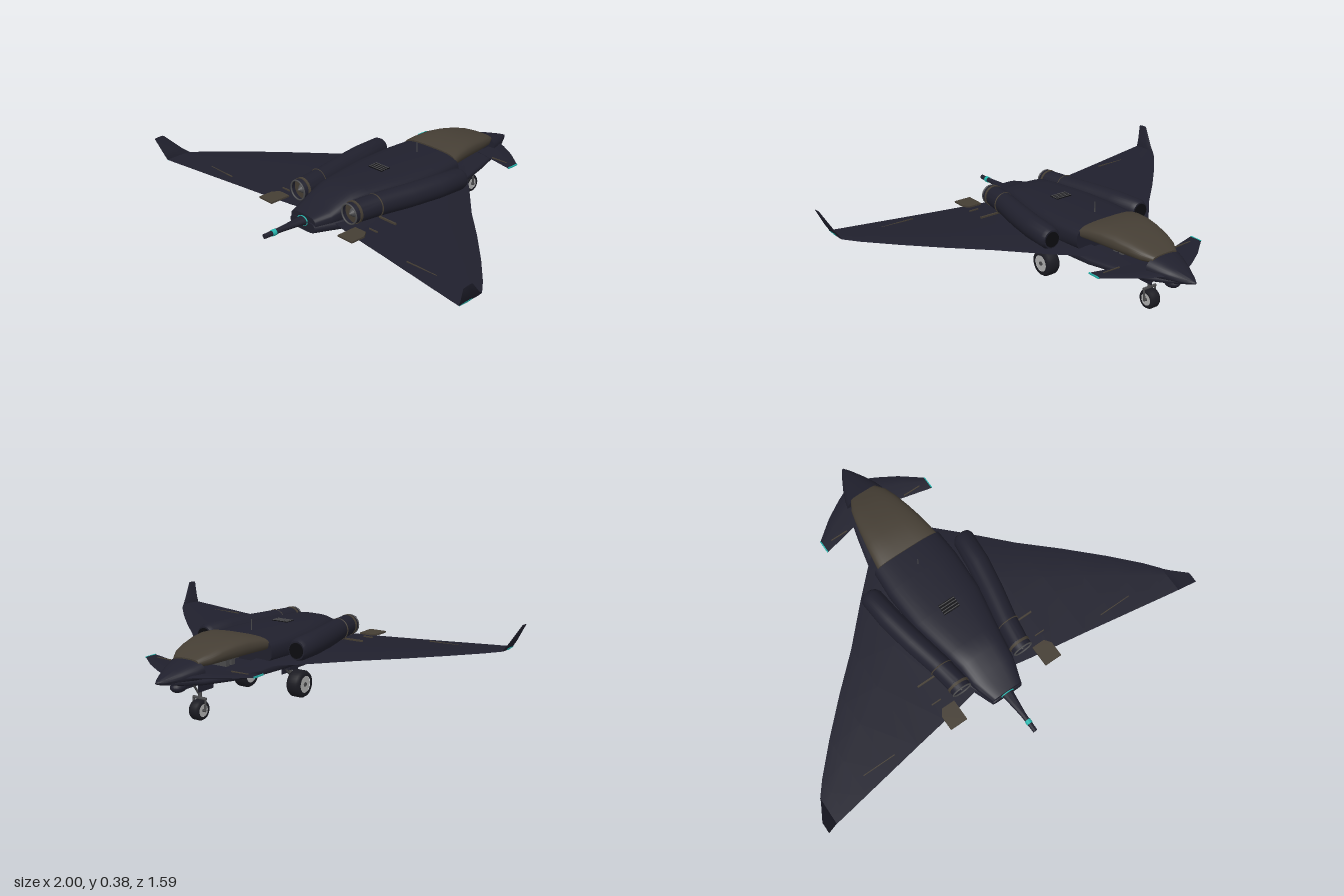
import * as THREE from 'three';
import { toCreasedNormals } from 'three/addons/utils/BufferGeometryUtils.js';

const material = (name, color, side = THREE.FrontSide) => {
  const m = new THREE.MeshStandardMaterial({ color, side });
  m.name = name;
  return m;
};

export function createModel() {
  const navy = material('dark navy', 0x20202d);
  const bronze = material('bronze', 0x453e34);
  const cyan = material('cyan', 0x25b5ad);
  const rubber = material('rubber', 0x1b1b22);
  const silver = material('silver', 0xb0b0b0);
  const steel = material('steel', 0x4a4a4c);
  const black = material('black', 0x0c0c10);
  const navyShell = material('dark navy shell', 0x20202d, THREE.DoubleSide);

  const model = new THREE.Group();
  model.name = 'aircraft';
  const add = (name, geometry, mat, x = 0, y = 0, z = 0) => {
    const mesh = new THREE.Mesh(geometry, mat);
    mesh.name = name;
    mesh.position.set(x, y, z);
    model.add(mesh);
    return mesh;
  };
  const box = (name, w, h, d, mat, x, y, z) => add(name, new THREE.BoxGeometry(w, h, d), mat, x, y, z);

  // Skin a row of closed rings and cap both ends
  function skin(rings, flip = false, crease = 0.7) {
    const n = rings[0].length, pos = rings.flat(2), index = [];
    const tri = (a, b, c) => (flip ? index.push(a, c, b) : index.push(a, b, c));
    for (let i = 0; i < rings.length - 1; i++) {
      for (let j = 0; j < n; j++) {
        const a = i * n + j, b = i * n + (j + 1) % n;
        tri(a, b, a + n);
        tri(b, b + n, a + n);
      }
    }
    const last = (rings.length - 1) * n;
    for (let j = 1; j < n - 1; j++) {
      tri(0, j + 1, j);
      tri(last, last + j, last + j + 1);
    }
    const g = new THREE.BufferGeometry();
    g.setAttribute('position', new THREE.Float32BufferAttribute(pos, 3));
    g.setIndex(index);
    return toCreasedNormals(g, crease);
  }

  // Body sections: [z, half width, bottom, top, centre x]; power sets boxiness
  function body(sections, power, n = 32) {
    return skin(sections.map(([z, w, y0, y1, cx = 0]) =>
      Array.from({ length: n }, (_, j) => {
        const t = (j / n) * Math.PI * 2, c = Math.cos(t), s = Math.sin(t);
        const round = (v) => Math.sign(v) * Math.abs(v) ** (2 / power);
        return [cx + w * round(c), (y0 + y1) / 2 + ((y1 - y0) / 2) * round(s), z];
      })));
  }

  // Wing sections: [x, leading z, trailing z, y, thickness]
  function wing(sections, s) {
    return skin(sections.map(([x, a, b, y, t]) => [
      [0, 0], [0.12, 0.4], [0.4, 0.5], [1, 0.06],
      [1, -0.06], [0.4, -0.5], [0.12, -0.4],
    ].map(([u, v]) => [x * s, y + v * t, a + (b - a) * u])), s < 0);
  }

  // Fuselage
  add('lowerHull', body([
    [-0.79, 0.01, 0.222, 0.232], [-0.7, 0.06, 0.203, 0.23], [-0.6, 0.1, 0.187, 0.222],
    [-0.45, 0.14, 0.176, 0.218], [-0.3, 0.175, 0.17, 0.218], [-0.1, 0.19, 0.164, 0.228],
    [0.1, 0.19, 0.165, 0.235], [0.3, 0.165, 0.172, 0.24], [0.45, 0.13, 0.18, 0.24], [0.58, 0.08, 0.19, 0.24],
  ], 3.5), navy);
  add('nose', body([
    [-0.8, 0.004, 0.225, 0.233], [-0.77, 0.025, 0.215, 0.245], [-0.7, 0.062, 0.205, 0.268],
    [-0.64, 0.088, 0.2, 0.286], [-0.6, 0.1, 0.2, 0.297],
  ], 2.4), navy);
  add('upperBody', body([
    [-0.235, 0.182, 0.21, 0.335], [-0.1, 0.19, 0.2, 0.337], [0.1, 0.18, 0.2, 0.337],
    [0.3, 0.14, 0.2, 0.336], [0.38, 0.125, 0.2, 0.33], [0.46, 0.115, 0.2, 0.295],
    [0.5, 0.105, 0.2, 0.28], [0.575, 0.08, 0.2, 0.266],
  ], 3.2), navy);
  add('canopy', body([
    [-0.61, 0.07, 0.265, 0.3], [-0.56, 0.1, 0.262, 0.322], [-0.5, 0.117, 0.262, 0.34],
    [-0.42, 0.134, 0.264, 0.355], [-0.35, 0.147, 0.266, 0.36], [-0.28, 0.158, 0.268, 0.354],
    [-0.23, 0.165, 0.27, 0.342],
  ], 3), bronze);
  add('chinSensor', new THREE.SphereGeometry(0.04, 20, 12), navy, 0, 0.183, -0.66).scale.set(0.8, 0.6, 1);
  for (const z of [-0.33, -0.37]) box('cockpitSeat', 0.08, 0.05, 0.025, steel, 0, 0.24, z);
  box('cockpitRail', 0.1, 0.01, 0.1, steel, 0, 0.252, -0.35);

  // Tail boom
  add('tailBoom', body([
    [0.54, 0.035, 0.205, 0.255], [0.6, 0.025, 0.218, 0.25], [0.7, 0.013, 0.222, 0.247], [0.79, 0.011, 0.223, 0.245],
  ], 2, 16), navy);
  add('boomLightBand', new THREE.CylinderGeometry(0.0145, 0.0145, 0.02, 20), cyan, 0, 0.234, 0.74).rotation.x = Math.PI / 2;
  add('tailLightRing', new THREE.TorusGeometry(0.032, 0.003, 6, 24), cyan, 0, 0.233, 0.578).scale.y = 0.7;

  // Dorsal details
  add('antenna', new THREE.CylinderGeometry(0.002, 0.003, 0.055, 8), steel, 0, 0.36, -0.14);
  box('dorsalVent', 0.085, 0.005, 0.055, black, 0, 0.337, 0.112);
  for (let i = 0; i < 4; i++) box('ventSlat', 0.085, 0.004, 0.004, steel, 0, 0.34, 0.091 + i * 0.014);

  const wheel = (name, x, y, z, r, w) => {
    const lathe = new THREE.LatheGeometry([
      [r * 0.62, -w / 2], [r * 0.88, -w / 2], [r, -w * 0.32], [r, w * 0.32], [r * 0.88, w / 2], [r * 0.62, w / 2],
    ].map((p) => new THREE.Vector2(...p)), 32);
    add(name + 'Tyre', lathe, rubber, x, y, z).rotation.z = Math.PI / 2;
    add(name + 'Rim', new THREE.CylinderGeometry(r * 0.64, r * 0.64, w * 0.92, 24), silver, x, y, z).rotation.z = Math.PI / 2;
    add(name + 'Hub', new THREE.CylinderGeometry(r * 0.16, r * 0.16, w * 1.04, 12), steel, x, y, z).rotation.z = Math.PI / 2;
  };
  const rod = (name, a, b, r, mat) => {
    const from = new THREE.Vector3(...a), to = new THREE.Vector3(...b);
    const m = add(name, new THREE.CylinderGeometry(r, r, from.distanceTo(to), 10), mat);
    m.position.copy(from).lerp(to, 0.5);
    m.quaternion.setFromUnitVectors(new THREE.Vector3(0, 1, 0), to.sub(from).normalize());
  };

  for (const s of [1, -1]) {
    // Main wing, upturned tip and canard
    add('wing', wing([
      [0.1, -0.37, 0.485, 0.224, 0.03], [0.18, -0.3, 0.5, 0.224, 0.028], [0.3, -0.18, 0.52, 0.225, 0.024],
      [0.47, 0, 0.548, 0.229, 0.018], [0.63, 0.15, 0.576, 0.233, 0.013], [0.78, 0.3, 0.602, 0.237, 0.01],
      [0.9, 0.43, 0.623, 0.24, 0.008], [0.955, 0.5, 0.632, 0.242, 0.007],
    ], s), navy);
    add('winglet', wing([
      [0.953, 0.5, 0.632, 0.242, 0.007], [0.968, 0.535, 0.64, 0.27, 0.014], [1, 0.61, 0.663, 0.348, 0.008],
    ], s), navy);
    add('wingletLight', wing([[0.953, 0.555, 0.63, 0.238, 0.006], [0.957, 0.555, 0.63, 0.243, 0.006]], s), cyan);
    add('canard', wing([
      [0.06, -0.69, -0.52, 0.238, 0.016], [0.11, -0.665, -0.51, 0.238, 0.014], [0.2, -0.61, -0.488, 0.24, 0.011],
      [0.3, -0.53, -0.463, 0.242, 0.006],
    ], s), navy);
    box('canardTipLight', 0.005, 0.007, 0.065, cyan, s * 0.3, 0.242, -0.497);
    box('canardHinge', 0.09, 0.006, 0.005, bronze, s * 0.21, 0.243, -0.505);

    // Engine nacelle with intake and nozzle
    add('nacelle', body([
      [-0.16, 0.042, 0.236, 0.322, s * 0.263], [-0.14, 0.052, 0.228, 0.332, s * 0.261],
      [0, 0.055, 0.225, 0.335, s * 0.247], [0.15, 0.055, 0.225, 0.335, s * 0.22],
      [0.3, 0.052, 0.228, 0.334, s * 0.188], [0.42, 0.05, 0.23, 0.332, s * 0.17],
    ], 2), navy);
    add('intakeMouth', new THREE.CylinderGeometry(0.036, 0.036, 0.004, 24), black, s * 0.263, 0.279, -0.162).rotation.x = Math.PI / 2;
    add('nozzle', new THREE.CylinderGeometry(0.046, 0.05, 0.04, 28, 1, true), navyShell, s * 0.17, 0.281, 0.44).rotation.x = Math.PI / 2;
    add('nozzleRing', new THREE.CylinderGeometry(0.0525, 0.0525, 0.012, 28), bronze, s * 0.17, 0.281, 0.43).rotation.x = Math.PI / 2;
    add('nozzleLip', new THREE.TorusGeometry(0.046, 0.004, 8, 28), steel, s * 0.17, 0.281, 0.459);
    add('nozzleCone', new THREE.ConeGeometry(0.025, 0.03, 20), steel, s * 0.17, 0.281, 0.446).rotation.x = Math.PI / 2;
    add('nacelleBand', new THREE.TorusGeometry(0.052, 0.003, 6, 28), bronze, s * 0.187, 0.281, 0.32);

    // Flap and hinge strips
    const flap = new THREE.Shape([[0.22, 0.47], [0.285, 0.47], [0.308, 0.5], [0.308, 0.573], [0.22, 0.573]]
      .map(([x, z]) => new THREE.Vector2(x * s, z)));
    const flapMesh = add('flap', new THREE.ExtrudeGeometry(flap, { depth: 0.008, bevelEnabled: false }), bronze, 0, 0.242, 0);
    flapMesh.rotation.x = Math.PI / 2;
    box('hingeStrip', 0.1, 0.008, 0.008, bronze, s * 0.27, 0.238, 0.325);
    box('hingeStrip', 0.05, 0.006, 0.005, bronze, s * 0.29, 0.236, 0.43);
    box('hingeStrip', 0.165, 0.005, 0.004, bronze, s * 0.66, 0.236, 0.522);

    // Main landing gear
    box('gearBay', 0.05, 0.05, 0.14, navy, s * 0.13, 0.174, 0.02);
    box('gearDoor', 0.006, 0.07, 0.13, navy, s * 0.105, 0.155, 0.02);
    rod('mainStrut', [s * 0.115, 0.17, 0.01], [s * 0.112, 0.07, 0.025], 0.008, steel);
    rod('dragBrace', [s * 0.112, 0.16, -0.04], [s * 0.112, 0.1, 0.02], 0.005, steel);
    rod('mainAxle', [s * 0.108, 0.07, 0.025], [s * 0.16, 0.07, 0.025], 0.008, steel);
    wheel('main', s * 0.157, 0.07, 0.025, 0.065, 0.068);

    // Nose gear fork and doors
    rod('noseFork', [s * 0.033, 0.1, -0.52], [s * 0.033, 0.05, -0.525], 0.005, steel);
    box('noseGearDoor', 0.005, 0.04, 0.1, navy, s * 0.04, 0.165, -0.525);
  }

  // Nose landing gear
  rod('noseStrut', [0, 0.19, -0.515], [0, 0.1, -0.52], 0.009, steel);
  rod('noseBrace', [0, 0.17, -0.56], [0, 0.115, -0.52], 0.005, steel);
  rod('noseForkBridge', [-0.036, 0.102, -0.52], [0.036, 0.102, -0.52], 0.007, steel);
  rod('noseAxle', [-0.036, 0.05, -0.525], [0.036, 0.05, -0.525], 0.006, steel);
  wheel('nose', 0, 0.05, -0.525, 0.046, 0.05);

  return model;
}
